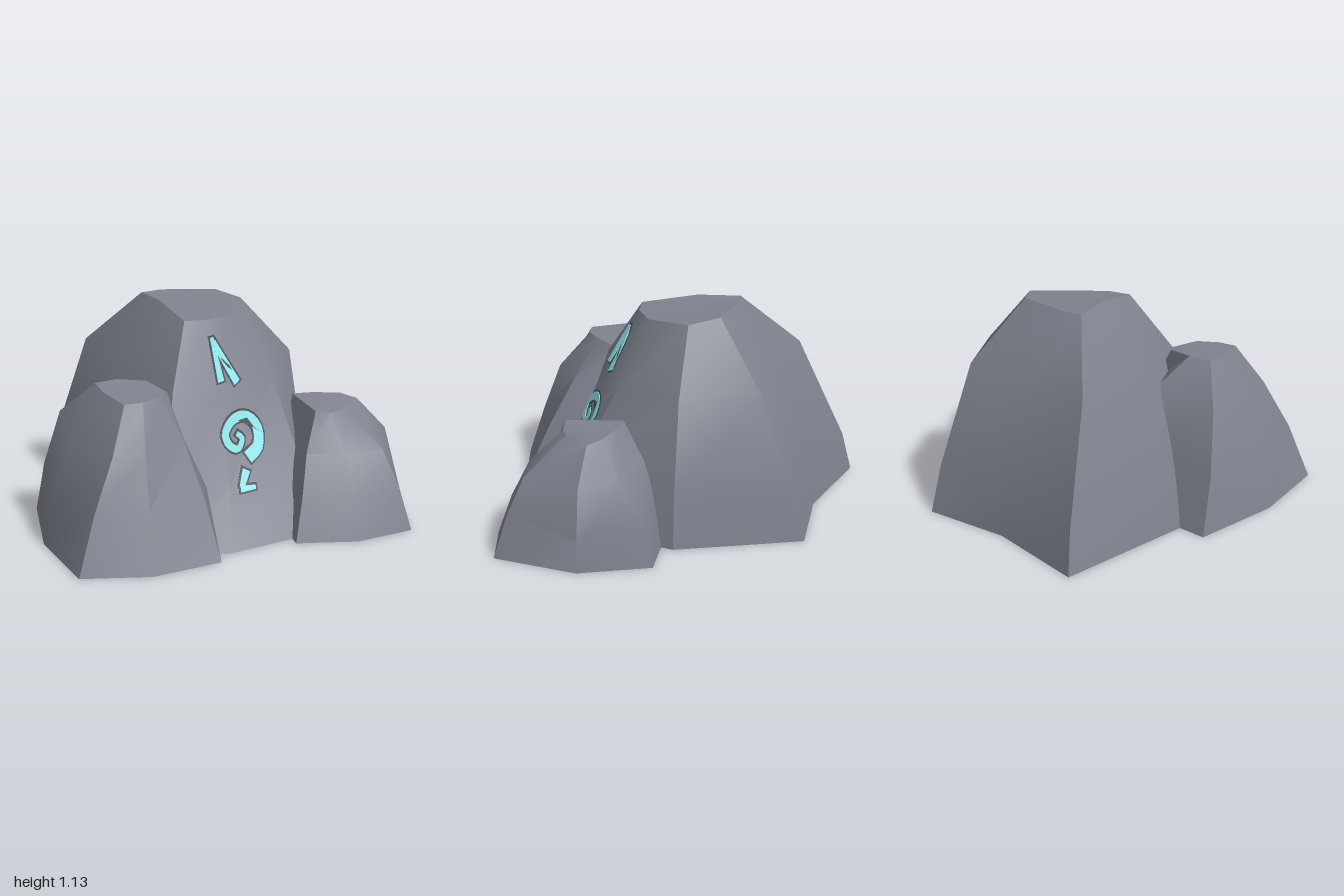
import * as THREE from 'three';
import { toCreasedNormals } from 'three/addons/utils/BufferGeometryUtils.js';

const stone = new THREE.MeshStandardMaterial({ color: 0x80838f });
const groove = new THREE.MeshStandardMaterial({ color: 0x4c4e57 });
const glow = new THREE.MeshStandardMaterial({ color: 0x8fe6ea });

// Each spoke is one ridge line [x, y, z] from ground to crown; spokes run back, right, front, left.
function rock(name, spokes) {
  const n = spokes.length, levels = spokes[0].length;
  const pos = [], index = [];
  for (let l = 0; l < levels; l++) for (const s of spokes) pos.push(...s[l]);
  const centre = (l) => {
    const c = [0, 0, 0];
    for (const s of spokes) s[l].forEach((v, k) => { c[k] += v / n; });
    pos.push(...c);
    return pos.length / 3 - 1;
  };
  const bottom = centre(0), top = centre(levels - 1);
  for (let i = 0; i < n; i++) {
    const j = (i + 1) % n;
    for (let l = 0; l < levels - 1; l++) {
      const a = l * n + i, b = l * n + j, c = a + n, d = b + n;
      index.push(a, c, b, b, c, d);
    }
    const t = (levels - 1) * n;
    index.push(bottom, i, j, top, t + j, t + i);
  }
  const geo = new THREE.BufferGeometry();
  geo.setAttribute('position', new THREE.Float32BufferAttribute(pos, 3));
  geo.setIndex(index);
  const mesh = new THREE.Mesh(toCreasedNormals(geo, 0.6), stone);
  mesh.name = name;
  return mesh;
}

// Flat brush stroke along a path, tapering from width w0 to w1
function stroke(points, w0, w1, grow, smooth) {
  const pts = points.map(([x, y]) => new THREE.Vector3(x, y, 0));
  const curve = smooth ? new THREE.CatmullRomCurve3(pts) : new THREE.LineCurve3(pts[0], pts[1]);
  const steps = smooth ? 28 : 8, left = [], right = [];
  for (let i = 0; i <= steps; i++) {
    const t = i / steps, p = curve.getPoint(t), d = curve.getTangent(t);
    const h = (w0 + (w1 - w0) * t) / 2 + grow;
    const e = i === 0 ? -grow : i === steps ? grow : 0;
    left.push(new THREE.Vector2(p.x - d.y * h + d.x * e, p.y + d.x * h + d.y * e));
    right.unshift(new THREE.Vector2(p.x + d.y * h + d.x * e, p.y - d.x * h + d.y * e));
  }
  return new THREE.Shape([...left, ...right]);
}

// Lay a shape on the front of a rock
function inlay(shape, target, height, material, name) {
  const geo = new THREE.ExtrudeGeometry(shape, { depth: 0.02, bevelEnabled: false });
  const p = geo.attributes.position, ray = new THREE.Raycaster();
  for (let i = 0; i < p.count; i++) {
    ray.set(new THREE.Vector3(p.getX(i), p.getY(i), 3), new THREE.Vector3(0, 0, -1));
    const hit = ray.intersectObject(target)[0];
    p.setZ(i, hit.point.z + p.getZ(i) - 0.02 + height);
  }
  geo.computeVertexNormals();
  const mesh = new THREE.Mesh(geo, material);
  mesh.name = name;
  return mesh;
}

export function createModel() {
  const group = new THREE.Group();
  group.name = 'runeRocks';

  const main = rock('mainRock', [
    [[-0.67, 0, -0.95], [-0.64, 0.22, -0.9], [-0.52, 0.81, -0.65], [-0.27, 1.13, -0.35]],
    [[-0.1, 0, -0.8], [-0.1, 0.25, -0.75], [-0.1, 0.8, -0.6], [-0.15, 1.135, -0.365]],
    [[0.39, 0, -0.81], [0.38, 0.25, -0.74], [0.32, 0.79, -0.55], [0.14, 1.13, -0.31]],
    [[0.63, 0, -0.15], [0.605, 0.28, -0.15], [0.53, 0.79, -0.16], [0.24, 1.11, -0.155]],
    [[0.42, 0, 0.63], [0.4, 0.3, 0.44], [0.3, 0.76, 0.21], [0.09, 1.08, 0.09]],
    [[-0.1, 0, 0.77], [-0.05, 0.28, 0.57], [-0.05, 0.76, 0.36], [-0.05, 1.085, 0.17]],
    [[-0.4, 0, 0.7], [-0.38, 0.28, 0.58], [-0.31, 0.76, 0.4], [-0.18, 1.09, 0.18]],
    [[-0.77, 0, -0.14], [-0.7, 0.28, -0.13], [-0.48, 0.8, -0.11], [-0.23, 1.135, -0.12]],
  ]);

  const right = rock('tallSideRock', [
    [[-0.93, 0, -0.16], [-0.9, 0.3, -0.06], [-0.83, 0.62, 0.05], [-0.68, 0.81, 0.23]],
    [[-0.35, 0, -0.1], [-0.36, 0.3, -0.04], [-0.42, 0.62, 0.05], [-0.56, 0.815, 0.21]],
    [[-0.15, 0, 0.3], [-0.17, 0.25, 0.32], [-0.29, 0.6, 0.26], [-0.41, 0.805, 0.25]],
    [[-0.16, 0, 0.68], [-0.18, 0.3, 0.58], [-0.27, 0.54, 0.48], [-0.33, 0.77, 0.37]],
    [[-0.19, 0, 0.87], [-0.24, 0.3, 0.74], [-0.31, 0.58, 0.6], [-0.41, 0.79, 0.49]],
    [[-0.57, 0, 0.95], [-0.56, 0.3, 0.85], [-0.55, 0.56, 0.75], [-0.51, 0.785, 0.56]],
    [[-0.93, 0, 0.87], [-0.83, 0.3, 0.8], [-0.71, 0.56, 0.71], [-0.61, 0.785, 0.57]],
    [[-1, 0, 0.36], [-0.97, 0.2, 0.36], [-0.85, 0.53, 0.37], [-0.67, 0.8, 0.38]],
  ]);

  const left = rock('lowSideRock', [
    [[0.54, 0, -0.08], [0.54, 0.25, -0.04], [0.55, 0.46, 0.02], [0.56, 0.63, 0.16]],
    [[0.86, 0, -0.09], [0.84, 0.25, -0.02], [0.81, 0.44, 0.09], [0.7, 0.625, 0.2]],
    [[1, 0, 0.28], [0.98, 0.17, 0.28], [0.935, 0.43, 0.28], [0.77, 0.61, 0.27]],
    [[0.91, 0, 0.74], [0.86, 0.22, 0.68], [0.79, 0.42, 0.6], [0.64, 0.6, 0.41]],
    [[0.58, 0, 0.81], [0.58, 0.22, 0.73], [0.57, 0.42, 0.63], [0.55, 0.6, 0.45]],
    [[0.26, 0, 0.74], [0.32, 0.22, 0.66], [0.38, 0.42, 0.55], [0.46, 0.62, 0.46]],
    [[0.28, 0, 0.3], [0.31, 0.22, 0.27], [0.38, 0.42, 0.22], [0.44, 0.63, 0.15]],
  ]);
  group.add(main, right, left);
  main.updateMatrixWorld(true);

  // Glowing carved signs on the front face, top to bottom
  const signs = [
    [[[-0.042, 1.0], [-0.025, 0.79]], 0.022, 0.04],
    [[[-0.035, 0.98], [0.072, 0.77]], 0.03, 0.042],
    [[[0.03, 0.53], [0.06, 0.5], [0.03, 0.455], [-0.02, 0.48], [-0.04, 0.54], [0.02, 0.6],
      [0.1, 0.6], [0.16, 0.54], [0.15, 0.45], [0.08, 0.405]], 0.025, 0.065, true],
    [[[0.06, 0.35], [0.02, 0.275]], 0.045, 0.03],
    [[[0.01, 0.268], [0.1, 0.265]], 0.03, 0.018],
  ];
  for (const [points, w0, w1, smooth] of signs) {
    group.add(inlay(stroke(points, w0, w1, 0.01, smooth), main, 0.004, groove, 'signGroove'));
    group.add(inlay(stroke(points, w0, w1, 0, smooth), main, 0.008, glow, 'glowingSign'));
  }
  return group;
}
